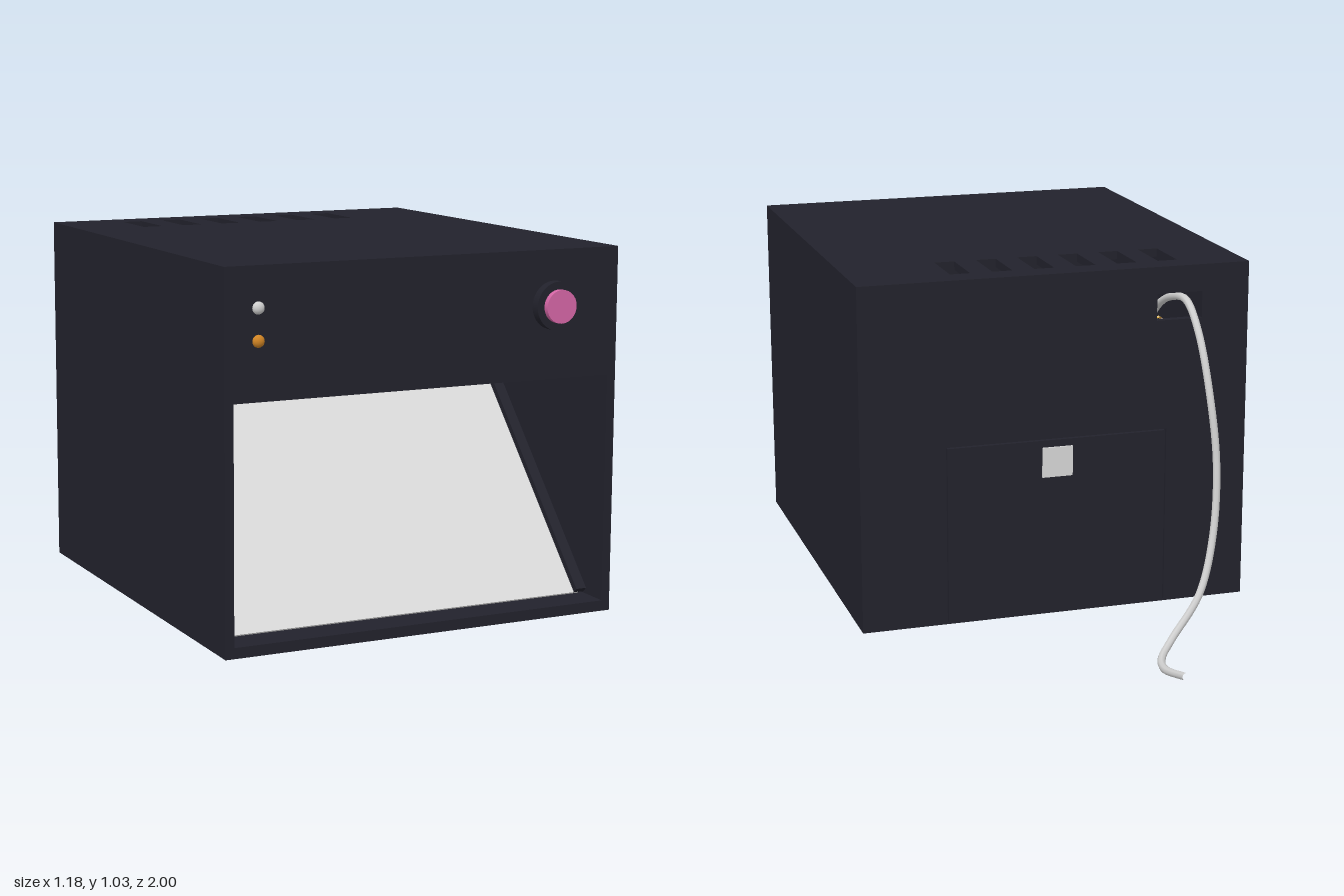
import * as THREE from 'three';

const mat = (name, color, side = THREE.FrontSide) => {
  const m = new THREE.MeshStandardMaterial({ color, side });
  m.name = name;
  return m;
};

export function createModel() {
  const group = new THREE.Group();
  const dark = mat('case dark', 0x22222c);
  const light = mat('screen grey', 0xd9d9d9);
  const silver = mat('cable grey', 0xcfcfcf);
  const pink = mat('button pink', 0xd666a6);
  const orange = mat('orange', 0xd08424);
  const yellow = mat('yellow', 0xe8c040);
  const black = mat('board black', 0x17171c);

  const add = (name, geo, m, x = 0, y = 0, z = 0) => {
    const mesh = new THREE.Mesh(geo, m);
    mesh.name = name;
    mesh.position.set(x, y, z);
    group.add(mesh);
    return mesh;
  };
  const box = (name, m, x0, x1, y0, y1, z0, z1) =>
    add(name, new THREE.BoxGeometry(x1 - x0, y1 - y0, z1 - z0), m, (x0 + x1) / 2, (y0 + y1) / 2, (z0 + z1) / 2);
  const rect = (Type, x0, x1, y0, y1) =>
    new Type([[x0, y0], [x1, y0], [x1, y1], [x0, y1]].map(p => new THREE.Vector2(...p)));
  const plate = (outline, holes, depth) => {
    const s = rect(THREE.Shape, ...outline);
    s.holes = holes.map(h => rect(THREE.Path, ...h));
    return new THREE.ExtrudeGeometry(s, { depth, bevelEnabled: false });
  };
  const tube = (name, pts, r, m, seg) =>
    add(name, new THREE.TubeGeometry(new THREE.CatmullRomCurve3(pts.map(p => new THREE.Vector3(...p))), seg, r, 8), m);

  // Case dimensions
  const W = 0.59, H = 1.03, F = 0.957, B = -0.333, T = 0.025;

  // Case walls
  for (const s of [-1, 1]) {
    const x = s * (W - T / 2);
    box('sideWall', dark, x - T / 2, x + T / 2, 0, H, B, F);
  }
  box('floor', dark, -W + T, W - T, 0.003, 0.03, B + T, F - T);
  add('frontPanel', plate([-W + T, W - T, 0, H], [[-0.5649, 0.5649, 0.03, 0.675]], T), dark, 0, 0, F - T);

  // Top with six vent slots
  const slots = [...Array(6)].map((_, i) => {
    const x = -0.365 + i * 0.1264;
    return [x - 0.03, x + 0.03, 0.083, 0.252];
  });
  const top = plate([-W + T, W - T, -F + T, -B - T], slots, T);
  top.rotateX(-Math.PI / 2);
  add('ventedTop', top, dark, 0, H - T, 0);

  // Back with cable opening and service hatch
  add('backPanel', plate([-W + T, W - T, 0, H], [[-0.445, -0.305, 0.87, 0.95], [-0.34, 0.335, 0.003, 0.54]], T), dark, 0, 0, B);
  box('serviceHatch', dark, -0.336, 0.331, 0.003, 0.536, B, B + 0.02);
  box('hatchTab', light, -0.047, 0.045, 0.425, 0.515, B - 0.006, B);

  // Slanted screen, its backing and the rails holding it
  const lo = new THREE.Vector2(0.86, 0.032), hi = new THREE.Vector2(0.25, 0.695);
  const len = lo.distanceTo(hi), tilt = -Math.atan2(lo.x - hi.x, hi.y - lo.y);
  const slant = new THREE.Group();
  slant.name = 'slantedScreen';
  slant.position.set(0, (lo.y + hi.y) / 2, (lo.x + hi.x) / 2);
  slant.rotation.x = tilt;
  const part = (name, m, w, d, x, z) => {
    const mesh = new THREE.Mesh(new THREE.BoxGeometry(w, len, d), m);
    mesh.name = name;
    mesh.position.set(x, 0, z);
    slant.add(mesh);
  };
  part('screen', light, 1.1, 0.008, 0, 0);
  part('screenBacking', dark, 1.12, 0.01, 0, -0.009);
  for (const s of [-1, 1]) part('screenRail', dark, 0.032, 0.02, s * 0.549, 0.012);
  group.add(slant);
  box('shelf', dark, -W + T, W - T, 0.68, 0.7, 0.24, F - T);

  // Round push button
  const disc = (name, r, z0, z1, m, x, y) => {
    const g = new THREE.CylinderGeometry(r, r, z1 - z0, 40);
    g.rotateX(Math.PI / 2);
    add(name, g, m, x, y, (z0 + z1) / 2);
  };
  disc('buttonRing', 0.067, F, 0.984, dark, 0.387, 0.878);
  disc('button', 0.046, 0.98, 1, pink, 0.387, 0.878);

  // Indicator lights
  for (const [y, m] of [[0.92, silver], [0.834, orange]]) {
    const g = new THREE.SphereGeometry(0.017, 20, 8, 0, Math.PI * 2, 0, Math.PI / 2);
    g.rotateX(Math.PI / 2);
    g.scale(1, 1, 0.8);
    add('indicatorLight', g, m, -0.495, y, F);
  }

  // Power cable leaving the back
  tube('powerCable', [
    [-0.38, 0.8, -0.06], [-0.38, 0.87, -0.14], [-0.38, 0.92, -0.25], [-0.385, 0.932, -0.36],
    [-0.383, 0.86, -0.465], [-0.387, 0.7, -0.55], [-0.395, 0.5, -0.595], [-0.37, 0.3, -0.64],
    [-0.31, 0.15, -0.695], [-0.21, 0.045, -0.745], [-0.155, 0.017, -0.81], [-0.138, 0.015, -0.88], [-0.155, 0.036, -0.998],
  ], 0.0115, silver, 100);

  // Circuit board with a fan of wires under the vents
  box('circuitBoard', black, -0.42, 0.4, 0.68, 0.7, -0.3, 0);
  box('connector', pink, 0.1, 0.31, 0.7, 0.77, -0.25, -0.212);
  [orange, silver, orange, black, yellow, orange, silver, yellow].forEach((m, i) => {
    const z = -0.205 + i * 0.016;
    const wave = 0.012 * (i % 2 ? 1 : -1);
    tube('wire', [
      [-0.37, 0.84, -0.215 + i * 0.005], [-0.24, 0.8, -0.205 + i * 0.008],
      [-0.1, 0.78, z + wave], [0.05, 0.76, z - wave], [0.18, 0.75, z + wave], [0.32, 0.71, z - wave],
    ], 0.007, m, 32);
  });
  return group;
}
